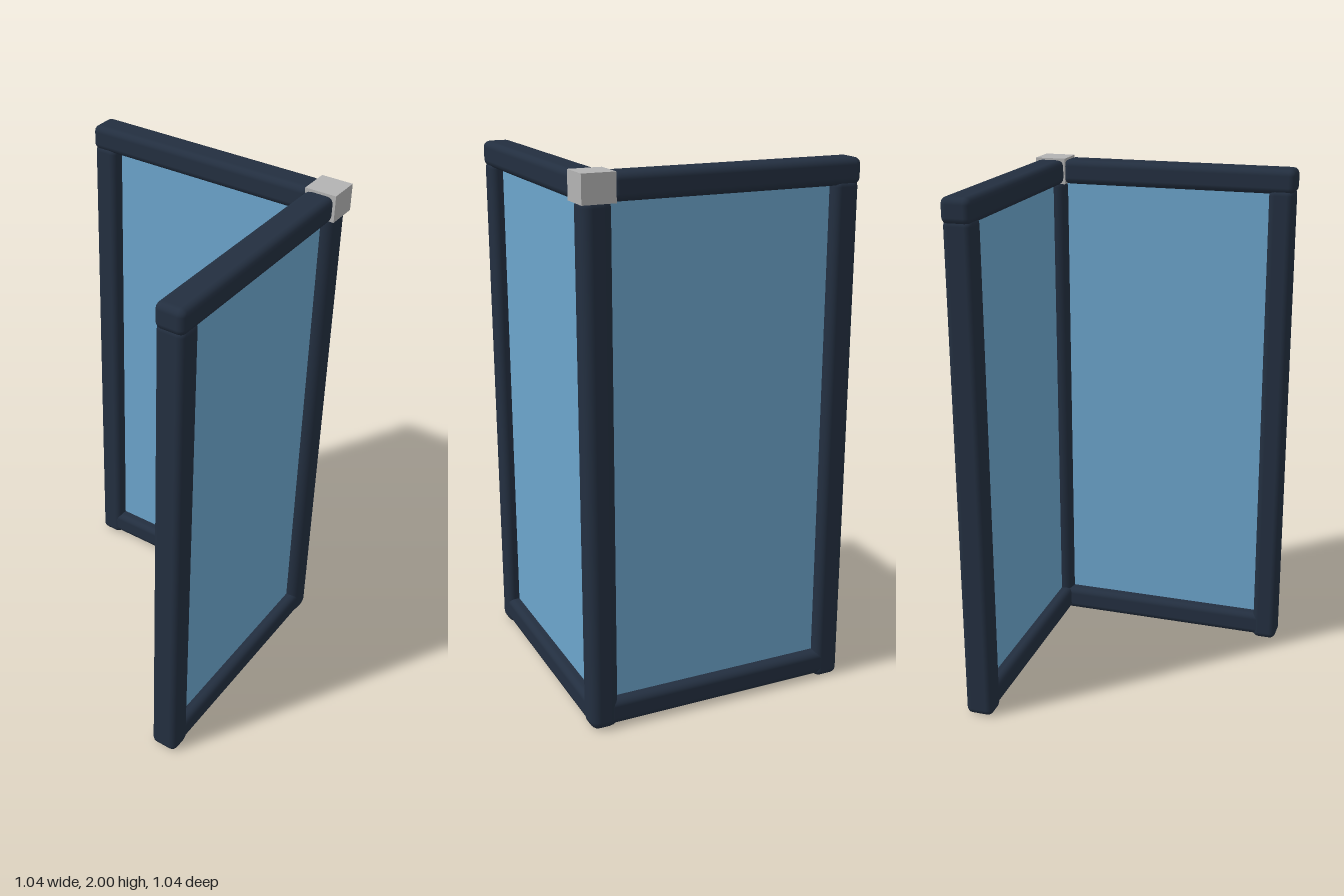
import * as THREE from 'three';
import { RoundedBoxGeometry } from 'three/addons/geometries/RoundedBoxGeometry.js';

const material = (name, color) => {
  const m = new THREE.MeshStandardMaterial({ color });
  m.name = name;
  return m;
};

export function createModel() {
  const frame = material('navy frame', 0x232f40);
  const glass = material('blue glass', 0x6ca5cc);
  const grey = material('grey connector', 0xb3b3b3);
  const model = new THREE.Group();
  model.name = 'cornerScreen';

  // Adds a part from its extents along each axis; a bevel rounds its edges
  const add = (parent, name, mat, [x0, x1], [y0, y1], [z0, z1], bevel = 0) => {
    const size = [x1 - x0, y1 - y0, z1 - z0];
    const geometry = bevel
      ? new RoundedBoxGeometry(...size, 2, bevel)
      : new THREE.BoxGeometry(...size);
    const mesh = new THREE.Mesh(geometry, mat);
    mesh.position.set((x0 + x1) / 2, (y0 + y1) / 2, (z0 + z1) / 2);
    mesh.name = name;
    parent.add(mesh);
  };

  // Two framed panels meeting at a right angle: one along x, one along z
  for (const side of [false, true]) {
    const panel = new THREE.Group();
    panel.name = side ? 'sidePanel' : 'backPanel';
    // "along" runs from the free end to the corner, "across" is the thickness
    const bar = (name, mat, along, y, across, bevel) => {
      if (side) add(panel, name, mat, across, y, along.map((v) => -v).reverse(), bevel);
      else add(panel, name, mat, along, y, across.map((v) => -v).reverse(), bevel);
    };
    bar('topRail', frame, [-0.52, 0.41], [1.9, 1.995], [0.402, 0.514], 0.025);
    bar('bottomRail', frame, [-0.5, 0.45], [0.012, 0.108], [0.405, 0.51], 0.025);
    bar('endPost', frame, [-0.515, -0.418], [0, 1.92], [0.403, 0.511], 0.025);
    bar('glassPane', glass, [-0.43, 0.42], [0.09, 1.91], [0.45, 0.468]);
    model.add(panel);
  }

  // Shared post and the cube joining the top rails
  add(model, 'cornerPost', frame, [0.405, 0.512], [0, 1.92], [-0.512, -0.405], 0.035);
  add(model, 'cornerConnector', grey, [0.4, 0.52], [1.9, 2], [-0.52, -0.4]);
  return model;
}
